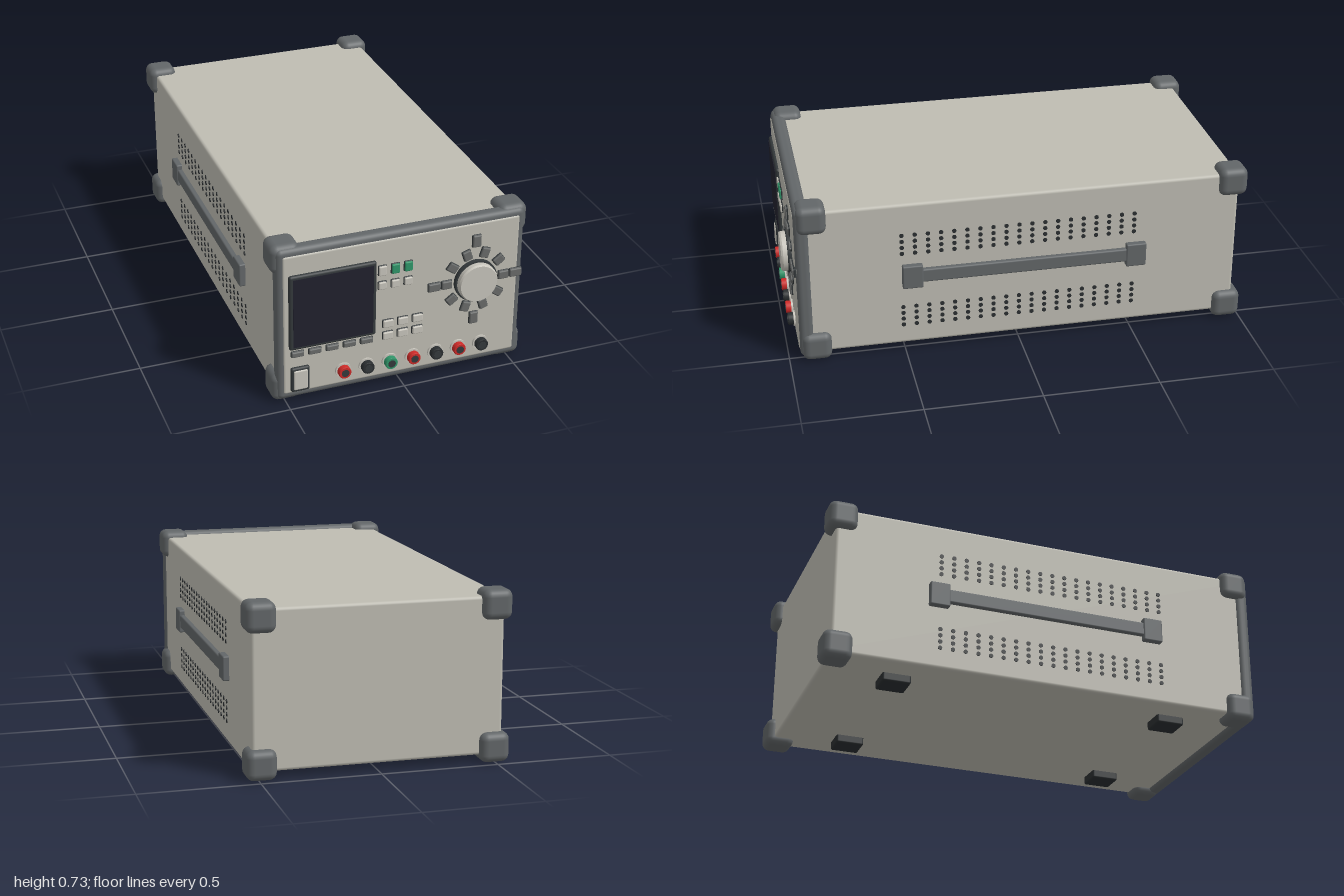
import * as THREE from 'three';
import { RoundedBoxGeometry } from 'three/addons/geometries/RoundedBoxGeometry.js';
import { mergeGeometries } from 'three/addons/utils/BufferGeometryUtils.js';

export function createModel() {
  const root = new THREE.Group();
  root.name = 'benchPowerSupply';
  const mat = (name, color) => Object.assign(new THREE.MeshStandardMaterial({ color }), { name });
  const beige = mat('caseBeige', 0xbebcb2);
  const pale = mat('keyPale', 0xc6c3ba);
  const rubber = mat('rubberGrey', 0x626668);
  const keyGrey = mat('keyGrey', 0x686a69);
  const dark = mat('frameDark', 0x34393b);
  const black = mat('footBlack', 0x2a2e30);
  const glass = mat('screenGlass', 0x20202c);
  const green = mat('green', 0x2f9468);
  const red = mat('red', 0xcc2a28);

  function add(name, geo, material, x, y, z, parent = root) {
    const m = new THREE.Mesh(geo, material);
    m.name = name;
    m.position.set(x, y, z);
    parent.add(m);
    return m;
  }
  function group(name) {
    const g = new THREE.Group();
    g.name = name;
    root.add(g);
    return g;
  }
  const rbox = (w, h, d, r, s = 2) => new RoundedBoxGeometry(w, h, d, s, r);
  // Lathe turned so that its axis points to the front
  const turned = (pts, seg = 32) =>
    new THREE.LatheGeometry(pts.map(p => new THREE.Vector2(...p)), seg).rotateX(Math.PI / 2);

  // Case, front bezel and front panel
  add('case', rbox(1.056, 0.666, 1.88, 0.014), beige, 0, 0.368, -0.025);
  add('frontBezel', rbox(1.076, 0.7, 0.062, 0.024, 3), rubber, 0, 0.368, 0.921);
  add('frontPanel', rbox(1.026, 0.644, 0.04, 0.01), beige, 0, 0.368, 0.936);

  // Corner bumpers
  const bumpers = group('cornerBumpers');
  const bumperGeo = rbox(0.126, 0.126, 0.126, 0.032, 3);
  for (const x of [-0.492, 0.492])
    for (const y of [0.068, 0.667])
      for (const z of [-0.937, 0.88]) add('cornerBumper', bumperGeo, rubber, x, y, z, bumpers);

  // Feet
  const feet = group('feet');
  for (const x of [-0.357, 0.357])
    for (const z of [-0.648, 0.6]) add('foot', rbox(0.11, 0.045, 0.124, 0.008), black, x, 0.0225, z, feet);

  // Side handles and ventilation holes
  for (const s of [-1, 1]) {
    const handle = group(s > 0 ? 'leftHandle' : 'rightHandle');
    add('handleBar', rbox(0.026, 0.06, 0.96, 0.007), rubber, s * 0.537, 0.366, -0.023, handle);
    for (const z of [0.464, -0.511])
      add('handleEnd', rbox(0.034, 0.106, 0.088, 0.006), rubber, s * 0.538, 0.366, z, handle);

    const holes = [];
    for (const y0 of [0.128, 0.471])
      for (let row = 0; row < 4; row++)
        for (let col = 0; col < 19; col++)
          holes.push(new THREE.CylinderGeometry(0.0095, 0.0095, 0.006, 10)
            .rotateZ(Math.PI / 2)
            .translate(s * 0.528, y0 + row * 0.0285, 0.506 - col * 0.056));
    add(s > 0 ? 'leftVents' : 'rightVents', mergeGeometries(holes), black, 0, 0, 0);
  }

  const Z = 0.956; // face of the front panel

  // Screen
  add('screenFrame', rbox(0.372, 0.344, 0.028, 0.01), dark, -0.304, 0.431, Z);
  add('screen', new THREE.BoxGeometry(0.342, 0.314, 0.006), glass, -0.304, 0.431, Z + 0.0135);

  // Keys, each with a dark surround
  const keys = group('keys');
  function key(name, material, x, y, w, h, angle = 0) {
    const k = new THREE.Group();
    k.name = name;
    k.position.set(x, y, Z);
    k.rotation.z = angle;
    keys.add(k);
    add('keySurround', rbox(w + 0.003, h + 0.003, 0.012, 0.005), dark, 0, 0, 0, k);
    add('keyCap', rbox(w - 0.002, h - 0.002, 0.026, 0.005), material, 0, 0, 0, k);
  }
  for (let i = 0; i < 5; i++) key('softKey', keyGrey, -0.454 + i * 0.0745, 0.235, 0.054, 0.026);
  for (let i = 0; i < 3; i++) {
    const x = -0.091 + i * 0.056;
    key('modeKey', i ? green : pale, x, 0.552, 0.036, 0.045);
    key('functionKey', pale, x, 0.483, 0.036, 0.036);
    for (const y of [0.24, 0.297]) key('channelKey', pale, -0.063 + i * 0.065, y, 0.046, 0.036);
  }

  // Ring of keys around the dial, with four outer arrow keys
  const cx = 0.32, cy = 0.427;
  for (let i = 0; i < 10; i++) {
    const a = i * Math.PI / 5;
    key('dialKey', keyGrey, cx + 0.127 * Math.cos(a), cy + 0.127 * Math.sin(a), 0.046, 0.038, a);
  }
  for (let i = 0; i < 4; i++) {
    const a = i * Math.PI / 2;
    key('arrowKey', keyGrey, cx + 0.182 * Math.cos(a), cy + 0.182 * Math.sin(a), 0.055, 0.038, a);
  }

  // Dial
  const dial = group('dial');
  dial.position.set(cx, cy, Z);
  add('dialSkirt', turned([[0.094, -0.01], [0.094, 0.014], [0.091, 0.017], [0, 0.017]], 48), dark, 0, 0, 0, dial);
  add('dialKnob', turned([[0.086, 0], [0.086, 0.036], [0.086, 0.036], [0.081, 0.044], [0.081, 0.044], [0, 0.044]], 48),
    pale, 0, 0, 0, dial);

  // Power switch
  add('powerFrame', rbox(0.081, 0.115, 0.026, 0.009), dark, -0.444, 0.114, Z);
  add('powerRocker', rbox(0.06, 0.092, 0.036, 0.006), pale, -0.444, 0.114, Z);

  // Output terminals
  const terminals = group('terminals');
  [red, black, green, red, black, red, black].forEach((colour, i) => {
    const t = new THREE.Group();
    t.name = 'terminal';
    t.position.set(-0.257 + i * 0.1023, 0.113, Z);
    terminals.add(t);
    add('terminalBase', turned([[0.034, -0.01], [0.034, 0.008], [0.034, 0.008], [0, 0.008]]), pale, 0, 0, 0, t);
    add('terminalCollar', turned([[0.027, 0], [0.027, 0.028], [0.025, 0.031], [0.025, 0.031], [0.016, 0.031]]),
      colour, 0, 0, 0, t);
    add('terminalSocket', turned([[0.0165, 0], [0.0165, 0.033], [0.0165, 0.033], [0, 0.033]], 20), dark, 0, 0, 0, t);
  });

  return root;
}
